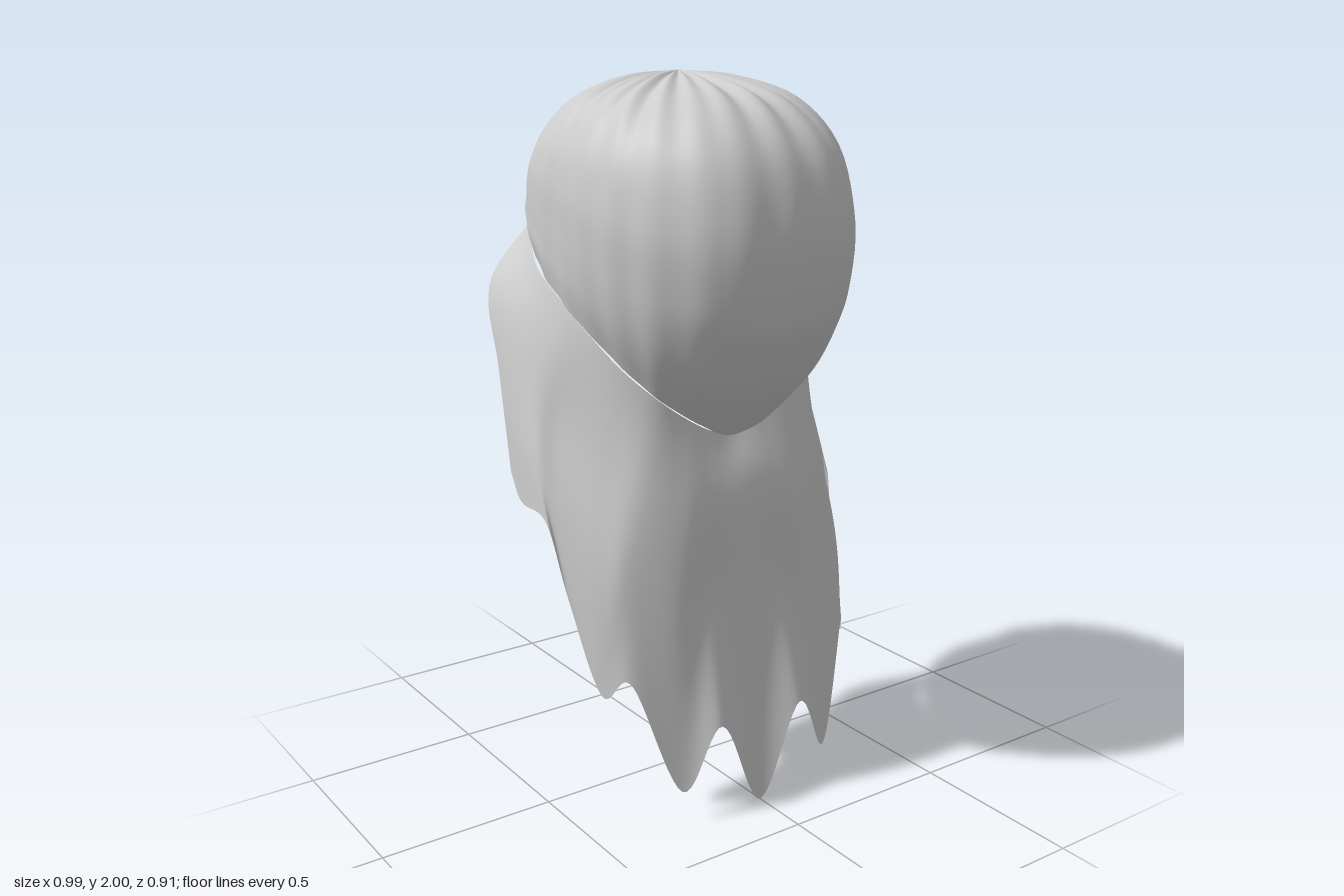
import * as THREE from 'three';

const cloth = new THREE.MeshStandardMaterial({ color: 0xcccccc, side: THREE.DoubleSide });
cloth.name = 'paleGreyCloth';

// Smooth surface through columns of points (each column runs from top to bottom)
function loft(columns, nu, nv, closed, adjust) {
  const curves = columns.map(c => new THREE.CatmullRomCurve3(c, false, 'catmullrom', 0.5));
  const cols = closed ? nu : nu + 1;
  const pos = [], index = [];
  for (let j = 0; j <= nv; j++) {
    const v = j / nv;
    const row = new THREE.CatmullRomCurve3(curves.map(c => c.getPoint(v)), closed, 'catmullrom', 0.5);
    for (let i = 0; i < cols; i++) {
      const p = row.getPoint(i / nu);
      adjust(p, i / nu, v);
      pos.push(p.x, p.y, p.z);
    }
  }
  for (let j = 0; j < nv; j++) {
    for (let i = 0; i < nu; i++) {
      const k = (i + 1) % cols;
      const a = j * cols + i, b = j * cols + k, c = a + cols, d = b + cols;
      index.push(a, c, b, b, c, d);
    }
  }
  const g = new THREE.BufferGeometry();
  g.setAttribute('position', new THREE.Float32BufferAttribute(pos, 3));
  g.setIndex(index);
  g.computeVertexNormals();
  return g;
}

// Pleated hood: meridians [radius, y] from the crown to the slanted rim
function hoodGeometry() {
  const axisZ = -0.07;
  const front = [[0, 2], [0.17, 1.985], [0.35, 1.93], [0.47, 1.8], [0.52, 1.6], [0.5, 1.4], [0.46, 1.3], [0.38, 1.17], [0.26, 1.04]];
  const frontNear = [[0, 2], [0.17, 1.985], [0.35, 1.93], [0.475, 1.8], [0.525, 1.61], [0.51, 1.43], [0.47, 1.32], [0.405, 1.2], [0.3, 1.085]];
  const frontSide = [[0, 2], [0.16, 1.985], [0.32, 1.93], [0.43, 1.81], [0.475, 1.63], [0.47, 1.48], [0.45, 1.37], [0.415, 1.28], [0.355, 1.18]];
  const side = [[0, 2], [0.15, 1.985], [0.28, 1.925], [0.355, 1.82], [0.385, 1.71], [0.39, 1.6], [0.39, 1.53], [0.387, 1.47], [0.376, 1.405]];
  const backSide = [[0, 2], [0.15, 1.985], [0.28, 1.935], [0.36, 1.86], [0.405, 1.78], [0.42, 1.73], [0.425, 1.68], [0.43, 1.64], [0.415, 1.6]];
  const back = [[0, 2], [0.13, 1.98], [0.22, 1.95], [0.29, 1.905], [0.33, 1.855], [0.355, 1.8], [0.38, 1.75], [0.38, 1.7], [0.36, 1.675]];
  const between = (a, b, k) => a.map(([r, y], i) => [(r + b[i][0]) / 2 * k, (y + b[i][1]) / 2]);
  const half = [front, frontNear, frontSide, between(frontSide, side, 0.98), side,
    between(side, backSide, 1), backSide, between(backSide, back, 1.01), back];
  const meridians = [...half, ...half.slice(1, -1).reverse()];
  const columns = meridians.map((m, k) => {
    const a = k * Math.PI / 8;
    return m.map(([r, y]) => new THREE.Vector3(r * Math.sin(a), y, axisZ + r * Math.cos(a)));
  });
  // shallow pleats, deepest at the gathered crown
  return loft(columns, 256, 40, true, (p, u, v) => {
    const t = u * Math.PI * 2;
    const pleat = (Math.cos(25 * t) + 0.6 * Math.cos(18 * t)) / 1.6;
    const s = 1 + 0.007 * pleat;
    p.x *= s;
    p.z = axisZ + (p.z - axisZ) * s;
    p.y += 0.008 * (pleat - 0.7) * Math.sin(Math.PI * Math.min(1, v * 2.5));
  });
}

// Hanging drape: half of it as columns from the centre front to the free back edge,
// each running from the hood rim down to the jagged hem
function drapeGeometry() {
  const half = [
    [[0, 1.045, 0.19], [0, 0.87, 0.245], [0, 0.5, 0.27], [0, 0, 0.33]],
    [[0.08, 1.065, 0.195], [0.1, 0.87, 0.25], [0.12, 0.58, 0.26], [0.135, 0.265, 0.333]],
    [[0.16, 1.11, 0.19], [0.2, 0.85, 0.24], [0.23, 0.5, 0.262], [0.25, 0.09, 0.305]],
    [[0.24, 1.17, 0.175], [0.3, 0.93, 0.195], [0.345, 0.67, 0.21], [0.365, 0.41, 0.235]],
    [[0.305, 1.24, 0.12], [0.36, 0.98, 0.1], [0.41, 0.66, 0.15], [0.42, 0.37, 0.17]],
    [[0.35, 1.32, 0.04], [0.41, 1.1, -0.02], [0.46, 0.87, 0.02], [0.46, 0.62, 0.075]],
    [[0.376, 1.405, -0.07], [0.44, 1.2, -0.1], [0.48, 1.0, -0.06], [0.487, 0.83, 0.01]],
    [[0.375, 1.49, -0.21], [0.45, 1.32, -0.22], [0.485, 1.07, -0.16], [0.495, 0.86, -0.11]],
    [[0.315, 1.59, -0.345], [0.44, 1.42, -0.36], [0.475, 1.2, -0.255], [0.493, 0.93, -0.17]],
  ];
  const toColumn = (c, s) => c.map(([x, y, z]) => new THREE.Vector3(s * x, y, z));
  const columns = [...half.slice(1).reverse().map(c => toColumn(c, -1)), ...half.map(c => toColumn(c, 1))];
  // soft folds that fade out towards the hem and the free edges
  return loft(columns, 160, 32, false, (p, u, v) => {
    const e = Math.abs(u - 0.5) * 2;
    p.z += 0.006 * Math.cos(e * 8 * Math.PI) * Math.sin(Math.PI * v) * (1 - e);
  });
}

export function createModel() {
  const model = new THREE.Group();
  model.name = 'hoodWithDrape';
  const parts = { pleatedHood: hoodGeometry(), hangingDrape: drapeGeometry() };
  for (const [name, geometry] of Object.entries(parts)) {
    const mesh = new THREE.Mesh(geometry, cloth);
    mesh.name = name;
    model.add(mesh);
  }
  return model;
}
